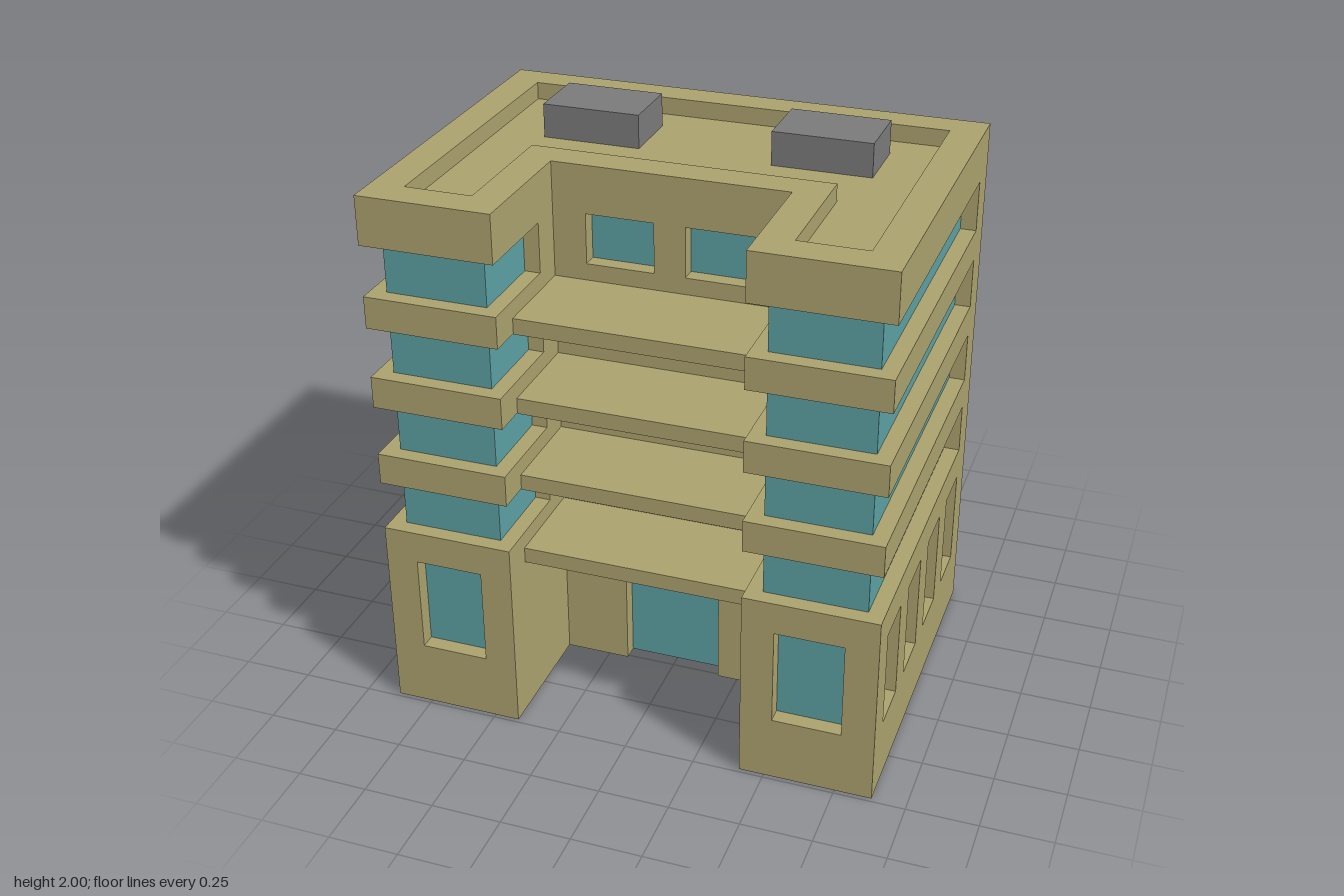
import * as THREE from 'three';

const wallMat = new THREE.MeshStandardMaterial({ color: 0xaca26e });
const glassMat = new THREE.MeshStandardMaterial({ color: 0x5ca1a3 });
const metalMat = new THREE.MeshStandardMaterial({ color: 0x7a7a7a });
wallMat.name = 'sandWall';
glassMat.name = 'tealGlass';
metalMat.name = 'greyMetal';

// main plan sizes
const X = 0.88, BACK = -0.56, FRONT = 0.735, COURT = 0.26, INNER = 0.412;
const D = 0.056;          // visible recess of the glass
const N = D + 0.004;      // recess of the wall behind the glass
const FLOORS = 4, PITCH = 0.2935, FIRST = 0.71, STRIP = 0.18;
const SIDE_WINDOWS = [0.533, 0.24, -0.055, -0.35];
const SIDE_HALF = 0.089;

export function createModel() {
  const model = new THREE.Group();
  model.name = 'apartmentBlock';

  // box given by its minimum and maximum corners
  const box = (name, mat, x0, x1, y0, y1, z0, z1) => {
    const mesh = new THREE.Mesh(new THREE.BoxGeometry(x1 - x0, y1 - y0, z1 - z0), mat);
    mesh.position.set((x0 + x1) / 2, (y0 + y1) / 2, (z0 + z1) / 2);
    mesh.name = name;
    model.add(mesh);
  };
  const pair = (name, mat, x0, x1, ...rest) => {
    box(name + 'Left', mat, x0, x1, ...rest);
    box(name + 'Right', mat, -x1, -x0, ...rest);
  };

  // closed outline from the half plan at +x, listed as [x, z]
  const mirrored = (half) => {
    const all = [...half, ...half.slice().reverse().map(([x, z]) => [-x, z])];
    return all.map(([x, z]) => new THREE.Vector2(x, -z));
  };
  const layer = (name, half, y0, y1, hole) => {
    const shape = new THREE.Shape(mirrored(half));
    if (hole) shape.holes.push(new THREE.Path(mirrored(hole)));
    const geo = new THREE.ExtrudeGeometry(shape, { depth: y1 - y0, bevelEnabled: false });
    geo.rotateX(-Math.PI / 2);
    const mesh = new THREE.Mesh(geo, wallMat);
    mesh.position.y = y0;
    mesh.name = name;
    model.add(mesh);
  };

  // half plans
  const door = [[0.177, COURT - N], [0.177, COURT]];
  const plainWing = [[INNER, COURT], [INNER, FRONT], [X, FRONT], [X, BACK]];
  const windowWing = [
    [INNER, COURT], [INNER, FRONT],
    [0.525, FRONT], [0.525, FRONT - N], [0.765, FRONT - N], [0.765, FRONT],
    [X, FRONT],
    ...SIDE_WINDOWS.flatMap((z) => [
      [X, z + SIDE_HALF], [X - N, z + SIDE_HALF], [X - N, z - SIDE_HALF], [X, z - SIDE_HALF],
    ]),
    [X, BACK],
  ];
  const stripFloor = [
    [0.055, COURT], [0.055, COURT - N], [0.295, COURT - N], [0.295, COURT],
    [INNER, COURT], [INNER, 0.38], [INNER + N, 0.38], [INNER + N, FRONT - N],
    [X - N, FRONT - N], [X - N, -0.44], [X, -0.44], [X, BACK],
  ];
  const roofWell = [[0.528, 0.145], [0.528, 0.617], [0.763, 0.617], [0.763, -0.445]];

  // ground floor
  layer('groundBase', [...door, ...plainWing], 0, 0.238);
  layer('groundWindowWall', [...door, ...windowWing], 0.238, 0.535);
  layer('groundLintel', windowWing, 0.535, 0.593);
  layer('groundBand', plainWing, 0.593, FIRST);
  box('doorGlass', glassMat, -0.177, 0.177, 0, 0.535, COURT - D - 0.006, COURT - D);
  pair('groundFrontGlass', glassMat, 0.525, 0.765, 0.238, 0.593, FRONT - D - 0.006, FRONT - D);
  for (const z of SIDE_WINDOWS) {
    pair('groundSideGlass', glassMat, X - D - 0.006, X - D, 0.238, 0.593,
      z - SIDE_HALF, z + SIDE_HALF);
  }

  // upper floors: recessed strip, solid band above and terrace slab
  for (let i = 0; i < FLOORS; i++) {
    const y0 = FIRST + i * PITCH, y1 = y0 + STRIP;
    const bandTop = i === FLOORS - 1 ? 1.88 : y0 + PITCH;
    layer('stripWall', stripFloor, y0, y1);
    layer('floorBand', plainWing, y1, bandTop);
    pair('courtGlass', glassMat, 0.055, 0.295, y0, y1, COURT - D - 0.006, COURT - D);
    pair('wingFrontGlass', glassMat, INNER + D, X - D, y0, y1, FRONT - D - 0.006, FRONT - D);
    pair('wingSideGlass', glassMat, X - D - 0.006, X - D, y0, y1, -0.44, FRONT - D);
    pair('wingInnerGlass', glassMat, INNER + D, INNER + D + 0.006, y0, y1, 0.38, FRONT - D);
    box('terraceSlab', wallMat, -INNER, INNER, y0 - 0.117, y0 - 0.06, COURT, 0.612);
  }

  // parapet and rooftop units
  layer('parapet', plainWing, 1.88, 1.942, roofWell);
  pair('roofUnit', metalMat, 0.236, 0.586, 1.88, 2, -0.325, -0.09);
  for (const [a, b] of [[0.293, 0.351], [0.467, 0.525]]) {
    pair('roofUnitVent', metalMat, a, b, 1.88, 1.935, -0.384, -0.325);
  }

  // utility boxes behind the building
  box('tallUtilityBox', metalMat, 0.352, 0.586, 0, 0.295, -0.735, BACK);
  box('lowUtilityBox', metalMat, 0.057, 0.293, 0, 0.118, -0.678, BACK);

  return model;
}
